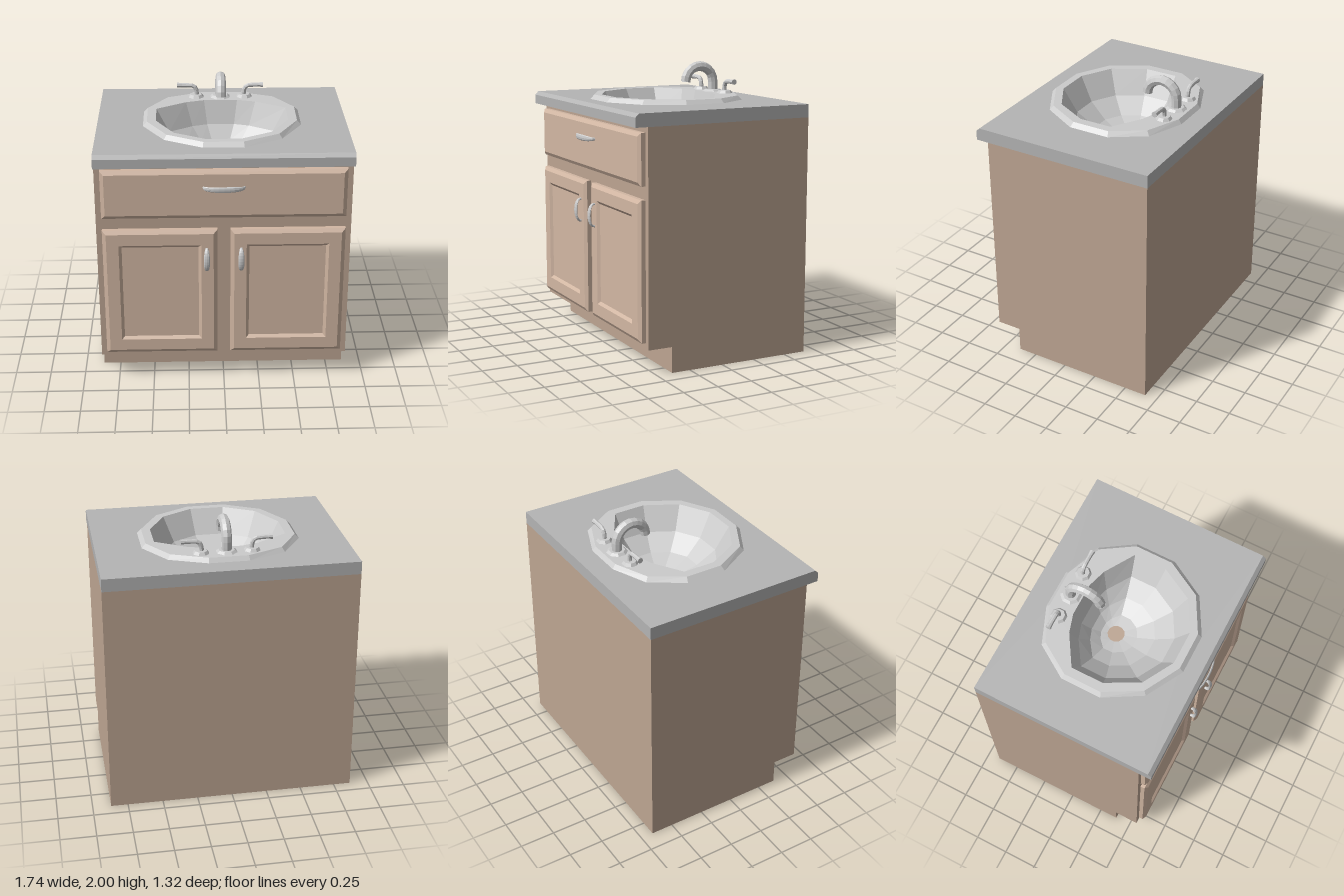
import * as THREE from 'three';

const mat = (color, side = THREE.FrontSide) =>
  new THREE.MeshStandardMaterial({ color, flatShading: true, side });
const V = (x, y, z) => new THREE.Vector3(x, y, z);

// Skin a list of equal-length closed rings; optionally cap the last one
function loft(rings, cap = false) {
  const n = rings[0].length;
  const pos = rings.flat().flatMap((p) => [p.x, p.y, p.z]);
  const idx = [];
  for (let r = 0; r < rings.length - 1; r++) {
    for (let i = 0; i < n; i++) {
      const a = r * n + i, b = r * n + ((i + 1) % n);
      idx.push(a, b, b + n, a, b + n, a + n);
    }
  }
  if (cap) {
    const s = (rings.length - 1) * n;
    for (let i = 1; i < n - 1; i++) idx.push(s, s + i, s + i + 1);
  }
  const g = new THREE.BufferGeometry();
  g.setAttribute('position', new THREE.Float32BufferAttribute(pos, 3));
  g.setIndex(idx);
  g.computeVertexNormals();
  return g;
}

// Extrude a (z, y) profile along x, centred on x
function extrudeX(points, width, x = 0) {
  const shape = new THREE.Shape(points.map(([z, y]) => new THREE.Vector2(z, y)));
  const g = new THREE.ExtrudeGeometry(shape, { depth: width, bevelEnabled: false });
  return g.rotateY(-Math.PI / 2).translate(x + width / 2, 0, 0);
}

// Stepped rectangular panel: steps are [inset, z]
function panel(x0, x1, y0, y1, steps) {
  return loft(steps.map(([d, z]) => [
    V(x0 + d, y0 + d, z), V(x1 - d, y0 + d, z), V(x1 - d, y1 - d, z), V(x0 + d, y1 - d, z),
  ]), true);
}

// Arched pull, wide in the middle, lying along x and standing out along z
function pull(halfLength) {
  const rings = [];
  for (let i = 0; i <= 12; i++) {
    const a = (i / 12) * Math.PI, s = Math.sin(a), c = -Math.cos(a);
    const w = 0.009 + 0.012 * s, t = 0.008;
    const out = 0.046 * Math.pow(Math.max(s, 0), 0.7);
    rings.push(Array.from({ length: 8 }, (_, k) => {
      const u = (k / 8) * Math.PI * 2;
      return V(c * (halfLength + t * Math.sin(u)), w * Math.cos(u), out + t * s * Math.sin(u));
    }));
  }
  return loft(rings);
}

// Mirror half an outline (front to back, +x side) into a closed ring
const ring = (half, y) => [
  ...half.map(([x, z]) => V(x, y, z)),
  ...[...half].reverse().map(([x, z]) => V(-x, y, z)),
];

export function createModel() {
  const model = new THREE.Group();
  const wood = mat(0xbda592), door = mat(0xd2b7a3), stone = mat(0xb4b4b4);
  const ceramic = mat(0xcccccc, THREE.DoubleSide), metal = mat(0xcccccc, THREE.DoubleSide);
  const add = (name, geo, material, parent = model) => {
    const m = new THREE.Mesh(geo, material);
    m.name = name;
    parent.add(m);
    return m;
  };

  // Hollow cabinet with a toe kick
  const cabinet = new THREE.Group();
  cabinet.name = 'cabinet';
  model.add(cabinet);
  const sideProfile = [[-0.66, 0], [0.385, 0], [0.385, 0.18], [0.56, 0.18], [0.56, 1.66], [-0.66, 1.66]];
  for (const s of [-1, 1]) add('cabinetSide', extrudeX(sideProfile, 0.02, s * 0.86), wood, cabinet);
  const board = (name, y0, y1, z0, z1) => add(name,
    new THREE.BoxGeometry(1.7, y1 - y0, z1 - z0).translate(0, (y0 + y1) / 2, (z0 + z1) / 2), wood, cabinet);
  board('cabinetBack', 0, 1.66, -0.66, -0.64);
  board('cabinetBottom', 0, 0.02, -0.64, 0.365);
  board('toeKick', 0, 0.2, 0.365, 0.385);
  board('toeKickTop', 0.18, 0.2, 0.385, 0.54);
  board('cabinetFront', 0.18, 1.66, 0.54, 0.56);

  // Drawer front and doors
  const edge = [[0, 0.56], [0, 0.59], [0.026, 0.607]];
  const recess = [[0.11, 0.607], [0.13, 0.59]];
  add('drawerFront', panel(-0.83, 0.83, 1.27, 1.62, edge), door);
  add('drawerPull', pull(0.137), metal).position.set(0, 1.5, 0.605);
  for (const s of [-1, 1]) {
    const xs = [s * 0.045, s * 0.83].sort((a, b) => a - b);
    add(s > 0 ? 'leftDoor' : 'rightDoor', panel(xs[0], xs[1], 0.22, 1.18, [...edge, ...recess]), door);
    const p = add('doorPull', pull(0.08), metal);
    p.rotation.z = Math.PI / 2;
    p.position.set(s * 0.118, 0.963, 0.603);
  }

  // Sink outlines, right half from front to back
  const outer = [[0.14, 0.515], [0.4, 0.37], [0.55, 0.11], [0.55, -0.18], [0.4, -0.41], [0.14, -0.515]];
  const lip = [[0.135, 0.487], [0.383, 0.35], [0.522, 0.1], [0.522, -0.17], [0.383, -0.388], [0.135, -0.492]];
  const rim = [[0.12, 0.435], [0.336, 0.313], [0.46, 0.083], [0.46, -0.15], [0.25, -0.28], [0.12, -0.32]];

  // Countertop with sink cut-out and chamfered front edge
  const top = new THREE.Shape([[-0.87, -0.66], [0.87, -0.66], [0.87, 0.62], [-0.87, 0.62]]
    .map(([x, z]) => new THREE.Vector2(x, z)));
  top.holes.push(new THREE.Path(ring(lip, 0).map((p) => new THREE.Vector2(p.x, p.z))));
  add('countertop', new THREE.ExtrudeGeometry(top, { depth: 0.09, bevelEnabled: false })
    .rotateX(Math.PI / 2).translate(0, 1.75, 0), stone);
  add('countertopEdge', extrudeX([[0.62, 1.66], [0.65, 1.66], [0.65, 1.725], [0.625, 1.75], [0.62, 1.75]], 1.74), stone);

  // Sink: raised rim, then a bowl narrowing to an open drain
  const drain = rim.map((_, i) => {
    const a = ((i + 0.5) / 6) * Math.PI;
    return [0.06 * Math.sin(a), -0.06 + 0.06 * Math.cos(a)];
  });
  const bowl = [[1, 1.78], [0.78, 1.61], [0.48, 1.51], [0.2, 1.46], [0, 1.45]].map(([t, y]) =>
    ring(rim.map(([x, z], i) => [
      THREE.MathUtils.lerp(drain[i][0], x, t), THREE.MathUtils.lerp(drain[i][1], z, t),
    ]), y));
  add('sink', loft([ring(outer, 1.75), ring(lip, 1.78), ...bowl]), ceramic);

  // Gooseneck spout
  const faucet = new THREE.Group();
  faucet.name = 'faucet';
  model.add(faucet);
  const base = (x, r, h) => add('faucetBase',
    new THREE.CylinderGeometry(r * 0.75, r, h, 8).rotateY(Math.PI / 8).translate(x, 1.78 + h / 2, -0.4), metal, faucet);
  base(0, 0.075, 0.015);
  const neck = [V(0, 1.78, -0.4)];
  for (let i = 0; i <= 8; i++) {
    const a = (i / 8) * Math.PI;
    neck.push(V(0, 1.855 + 0.11 * Math.sin(a), -0.288 - 0.112 * Math.cos(a)));
  }
  add('spout', new THREE.TubeGeometry(new THREE.CatmullRomCurve3(neck), 12, 0.036, 8), metal, faucet);
  add('spoutEnd', new THREE.CircleGeometry(0.036, 8).rotateX(Math.PI / 2).translate(0, 1.857, -0.176), metal, faucet);

  // Lever taps either side
  for (const s of [-1, 1]) {
    base(s * 0.175, 0.058, 0.02);
    const path = [[0.172, 1.79], [0.174, 1.83], [0.192, 1.86], [0.225, 1.866], [0.295, 1.868]]
      .map(([x, y]) => V(s * x, y, -0.4));
    add('tapLever', new THREE.TubeGeometry(new THREE.CatmullRomCurve3(path), 8, 0.016, 8), metal, faucet);
    add('tapTip', new THREE.CylinderGeometry(0.02, 0.016, 0.035, 8)
      .rotateZ(-s * Math.PI / 2).translate(s * 0.295, 1.868, -0.4), metal, faucet);
  }
  return model;
}
